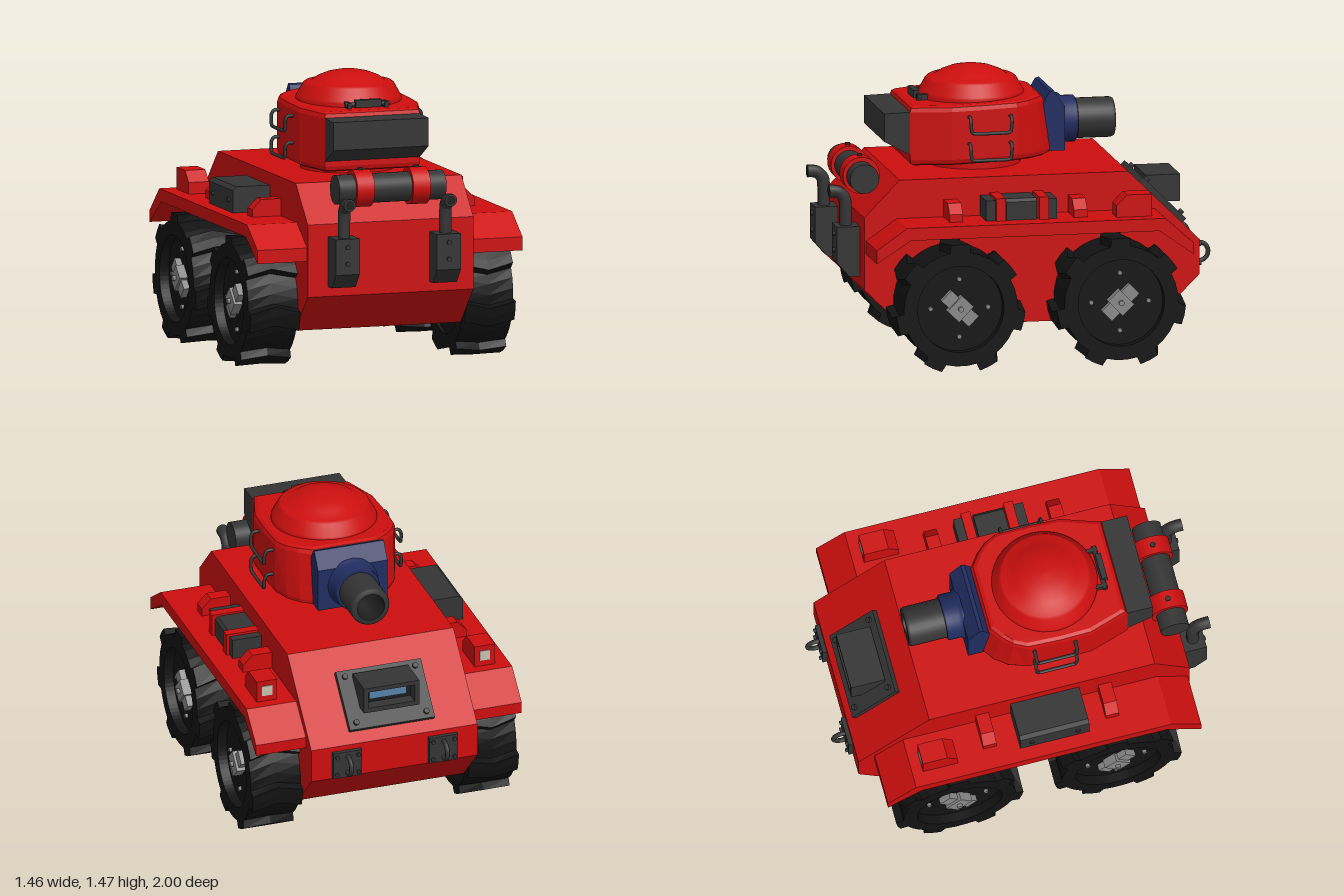
import * as THREE from 'three';

const mat = (color) => new THREE.MeshStandardMaterial({ color });

export function createModel() {
  const root = new THREE.Group();
  const red = mat(0xcc0e0e), dark = mat(0x343434), black = mat(0x121212);
  const blue = mat(0x202c60), grey = mat(0x888888), lens = mat(0xc4c0b0), glass = mat(0x5580a8);
  const inner = mat(0x1c1c1c);

  const add = (name, geo, material, x = 0, y = 0, z = 0, parent = root) => {
    const m = new THREE.Mesh(geo, material);
    m.name = name;
    m.position.set(x, y, z);
    parent.add(m);
    return m;
  };
  const box = (w, h, d) => new THREE.BoxGeometry(w, h, d);
  const cylX = (r, len, n = 24) => new THREE.CylinderGeometry(r, r, len, n).rotateZ(Math.PI / 2);
  const cylZ = (r, len, n = 24) => new THREE.CylinderGeometry(r, r, len, n).rotateX(Math.PI / 2);
  const polygon = (pts) => new THREE.Shape(pts.map(([a, b]) => new THREE.Vector2(a, b)));
  const extrude = (shape, depth) => new THREE.ExtrudeGeometry(shape, { depth, bevelEnabled: false, curveSegments: 24 });
  // Side profile given as [z, y], swept from x0 to x1
  const sideProfile = (pts, x0, x1) =>
    extrude(polygon(pts.map(([z, y]) => [-z, y])), x1 - x0).rotateY(Math.PI / 2).translate(x0, 0, 0);
  // Front profile given as [x, y], swept from z0 to z1
  const frontProfile = (pts, z0, z1) => extrude(polygon(pts), z1 - z0).translate(0, 0, z0);
  const tube = (pts, r, n = 24) => new THREE.TubeGeometry(
    new THREE.CatmullRomCurve3(pts.map((p) => new THREE.Vector3(...p)), false, 'catmullrom', 0.3), n, r, 10);

  // Hull
  add('hull', sideProfile([[0.665, 0.97], [0.85, 0.78], [0.85, 0.405], [0.65, 0.205], [-0.69, 0.205],
    [-0.905, 0.42], [-0.905, 0.6], [-0.53, 0.97]], -0.45, 0.45), red);

  // Fenders and the gear on both of them
  for (const s of [1, -1]) {
    const x0 = s > 0 ? 0.45 : -0.72;
    add('fender', sideProfile([[0.84, 0.66], [0.68, 0.77], [-0.67, 0.77], [-0.82, 0.635],
      [-0.82, 0.575], [-0.64, 0.705], [0.66, 0.705], [0.84, 0.59]], x0, x0 + 0.27), red);
    for (const z of [-0.25, 0.4])
      add('fenderBracket', frontProfile([[0.44, 0.765], [0.605, 0.765], [0.605, 0.81], [0.555, 0.86], [0.44, 0.86]]
        .map(([x, y]) => [s * x, y]), z - 0.035, z + 0.035), red);
    const lx = s * 0.59;
    add('lampHousing', sideProfile([[-0.43, 0.765], [-0.43, 0.83], [-0.485, 0.885], [-0.615, 0.885], [-0.615, 0.765]],
      lx - 0.055, lx + 0.055), red);
    add('lampLens', box(0.055, 0.055, 0.01), lens, lx, 0.83, -0.615);
  }

  // Stowage box on the right fender
  add('stowageBox', frontProfile([[-0.44, 0.765], [-0.65, 0.765], [-0.65, 0.885], [-0.63, 0.905], [-0.44, 0.905]],
    -0.1, 0.265), dark);
  for (const z of [-0.04, 0.205]) add('stowageBolt', cylX(0.012, 0.012, 8), dark, -0.653, 0.83, z);

  // Strapped canister on the left fender
  add('canister', frontProfile([[0.44, 0.765], [0.61, 0.765], [0.61, 0.865], [0.595, 0.88], [0.44, 0.88]], -0.02, 0.14), dark);
  for (const z of [-0.1, 0.22]) add('canisterEnd', box(0.165, 0.11, 0.05), dark, 0.525, 0.82, z);
  for (const z of [-0.055, 0.17]) add('canisterStrap', box(0.18, 0.125, 0.05), red, 0.535, 0.825, z);

  // Wheels: lugged tyre with slightly bent treads, recessed rim and hub
  const tyreShape = new THREE.Shape();
  const lugs = 7;
  for (let i = 0; i < lugs; i++) {
    const a0 = Math.PI / 2 + (i / lugs) * Math.PI * 2;
    const arc = [[-0.17, 0.298], [-0.15, 0.338], [0, 0.338], [0.15, 0.338], [0.19, 0.298], [0.36, 0.298], [0.55, 0.298]];
    arc.forEach(([a, r], k) => {
      const x = Math.cos(a0 + a) * r, y = Math.sin(a0 + a) * r;
      if (i + k === 0) tyreShape.moveTo(x, y); else tyreShape.lineTo(x, y);
    });
  }
  tyreShape.closePath();
  tyreShape.holes.push(new THREE.Path().absarc(0, 0, 0.225, 0, Math.PI * 2, true));
  const tyreGeo = new THREE.ExtrudeGeometry(tyreShape, { depth: 0.27, steps: 2, bevelEnabled: false, curveSegments: 32 });
  tyreGeo.translate(0, 0, -0.135);
  const tp = tyreGeo.attributes.position;
  for (let i = 0; i < tp.count; i++) {
    const a = 0.1 * (1 - Math.abs(tp.getZ(i)) / 0.135), x = tp.getX(i), y = tp.getY(i);
    tp.setXY(i, x * Math.cos(a) - y * Math.sin(a), x * Math.sin(a) + y * Math.cos(a));
  }
  tyreGeo.computeVertexNormals();
  tyreGeo.rotateY(Math.PI / 2);
  for (const s of [1, -1]) for (const [z, tilt] of [[0.4, 1], [-0.44, -1]]) {
    const wheel = new THREE.Group();
    wheel.name = 'wheel';
    wheel.position.set(s * 0.585, 0.337, z);
    if (s < 0) wheel.rotation.y = Math.PI;
    root.add(wheel);
    add('tyre', tyreGeo, black, 0, 0, 0, wheel);
    add('rim', cylX(0.228, 0.2, 32), black, -0.015, 0, 0, wheel);
    for (let k = 0; k < 4; k++) {
      const a = k * Math.PI / 2;
      add('wheelBolt', cylX(0.012, 0.02, 8), grey, 0.09, Math.sin(a) * 0.15, Math.cos(a) * 0.15, wheel);
    }
    const hub = new THREE.Group();
    hub.name = 'hub';
    hub.rotation.x = s * tilt * 0.8;
    wheel.add(hub);
    add('hubBar', box(0.035, 0.2, 0.075), grey, 0.1, 0, 0, hub);
    add('hubBlock', box(0.05, 0.085, 0.11), grey, 0.105, 0, 0, hub);
    add('hubPin', cylX(0.014, 0.03, 10), grey, 0.13, 0, 0, hub);
  }

  // Turret: ring, bevelled body leaning a little to the front, domed hatch
  add('turretRing', new THREE.CylinderGeometry(0.245, 0.245, 0.12, 40), red, 0, 1.0, 0.19);
  const half = [[0.17, -0.16], [0.225, -0.12], [0.27, -0.06], [0.3, 0.03], [0.305, 0.2], [0.3, 0.36], [0.24, 0.545]];
  const outline = half.concat(half.slice().reverse().map(([x, z]) => [-x, z]));
  const body = new THREE.ExtrudeGeometry(polygon(outline.map(([x, z]) => [x, -z])),
    { depth: 0.25, bevelSize: 0.025, bevelThickness: 0.03, bevelSegments: 2 });
  body.rotateX(-Math.PI / 2).translate(0, 1.045, 0);
  const bp = body.attributes.position;
  for (let i = 0; i < bp.count; i++) {
    const y = bp.getY(i), z = bp.getZ(i);
    if (z < 0) bp.setZ(i, z + (y - 1.02) * 0.15 * Math.min(1, -z / 0.1));
    bp.setY(i, y - 0.035 * (z - 0.2));
  }
  body.computeVertexNormals();
  add('turretBody', body, red);
  const dome = [[0.273, 1.3], [0.273, 1.335], [0.268, 1.345], [0.235, 1.405], [0.222, 1.415], [0.192, 1.418],
    [0.16, 1.44], [0.11, 1.46], [0.055, 1.472], [0, 1.475]];
  add('hatchDome', new THREE.LatheGeometry(dome.map(([r, y]) => new THREE.Vector2(r, y)), 40), red, 0, 0, 0.2);
  add('hatchHinge', box(0.14, 0.04, 0.03), dark, 0, 1.34, 0.5);
  add('hatchHingePin', cylX(0.012, 0.24, 10), dark, 0, 1.335, 0.49);
  for (const s of [1, -1]) add('hatchHingeArm', box(0.02, 0.05, 0.06), dark, s * 0.1, 1.32, 0.475);

  // Turret bin
  add('turretBin', sideProfile([[0.55, 1.285], [0.705, 1.28], [0.705, 1.135], [0.57, 1.06], [0.55, 1.06]], -0.258, 0.258), dark);

  // Grab handles
  for (const s of [1, -1]) for (const y of [1.26, 1.12])
    add('grabHandle', tube([[0.315, y, 0.275], [0.355, y, 0.275], [0.37, y - 0.025, 0.275], [0.37, y - 0.07, 0.27],
      [0.37, y - 0.08, 0.25], [0.37, y - 0.08, 0.085], [0.37, y - 0.07, 0.065], [0.37, y - 0.025, 0.06],
      [0.355, y, 0.06], [0.315, y, 0.06]].map(([x, h, z]) => [s * x, h, z]), 0.009, 48), dark);

  // Gun mantlet and hollow barrel
  add('mantlet', sideProfile([[-0.14, 1.29], [-0.175, 1.35], [-0.195, 1.355], [-0.255, 1.27], [-0.255, 1.04], [-0.17, 1.04]],
    -0.188, 0.188), blue);
  const lathe = (pts, material, name) => add(name, new THREE.LatheGeometry(
    pts.map(([r, d]) => new THREE.Vector2(r, d)), 32).rotateX(-Math.PI / 2), material, 0, 1.17, 0);
  lathe([[0.135, 0.24], [0.135, 0.255], [0.12, 0.27], [0.12, 0.335], [0.112, 0.342], [0, 0.342]], blue, 'barrelCollar');
  lathe([[0.1, 0.33], [0.104, 0.35], [0.104, 0.525], [0.098, 0.54], [0.074, 0.54]], dark, 'barrel');
  lathe([[0.074, 0.54], [0.074, 0.36], [0, 0.36]], inner, 'bore');

  // Strapped drum on the front
  add('drum', cylX(0.076, 0.58, 28), dark, 0, 0.95, 0.815);
  for (const s of [1, -1]) {
    add('drumStrap', cylX(0.096, 0.095, 28), red, s * 0.152, 0.952, 0.813);
    add('drumStrapBolt', new THREE.CylinderGeometry(0.014, 0.014, 0.02, 8), dark, s * 0.152, 1.048, 0.813);
  }

  // Exhausts
  for (const s of [1, -1]) {
    const x = s * 0.275;
    add('muffler', sideProfile([[0.84, 0.715], [0.97, 0.715], [0.97, 0.53], [0.905, 0.455], [0.84, 0.455]],
      x - 0.065, x + 0.065), dark);
    for (const y of [0.585, 0.672]) add('mufflerBolt', cylZ(0.013, 0.016, 8), dark, x, y, 0.972);
    add('exhaustPipe', tube([[x, 0.7, 0.912], [x, 0.8, 0.912], [x, 0.855, 0.918], [x, 0.885, 0.945], [x, 0.893, 0.975],
      [x, 0.893, 1.0]], 0.033), dark);
    add('exhaustMouth', new THREE.CircleGeometry(0.033, 16), dark, x, 0.893, 0.999);
    add('exhaustHole', new THREE.CircleGeometry(0.024, 16), inner, x, 0.893, 1.0);
  }

  // Sloped vision hatch on the back
  const plate = new THREE.Group();
  plate.name = 'visionPlate';
  plate.position.set(0, 0.762, -0.748);
  plate.rotation.x = -Math.atan2(0.37, 0.375);
  root.add(plate);
  add('plate', box(0.46, 0.035, 0.32), dark, 0, 0.008, 0, plate);
  for (const s of [1, -1]) for (const z of [-0.125, 0.125])
    add('plateBolt', new THREE.CylinderGeometry(0.015, 0.015, 0.02, 8), dark, s * 0.19, 0.032, z, plate);
  const frame = polygon([[-0.15, 0.745], [0.15, 0.745], [0.15, 0.885], [-0.15, 0.885]]);
  frame.holes.push(polygon([[-0.125, 0.77], [0.125, 0.77], [0.125, 0.862], [-0.125, 0.862]]));
  add('visionHood', extrude(frame, 0.18).translate(0, 0, -0.865), dark);
  add('hoodBack', box(0.26, 0.1, 0.02), inner, 0, 0.815, -0.79);
  add('visionGlass', box(0.2, 0.045, 0.02), glass, 0, 0.812, -0.797);

  // Tow rings on the back
  for (const s of [1, -1]) {
    const x = s * 0.26;
    add('towPlate', box(0.155, 0.145, 0.03), dark, x, 0.5, -0.913);
    for (const dx of [-0.058, 0.058]) for (const dy of [-0.05, 0.05])
      add('towBolt', cylZ(0.011, 0.016, 8), dark, x + dx, 0.5 + dy, -0.932);
    add('towRing', new THREE.TorusGeometry(0.048, 0.012, 10, 24).rotateY(Math.PI / 2), dark, x, 0.5, -0.94);
  }
  return root;
}
